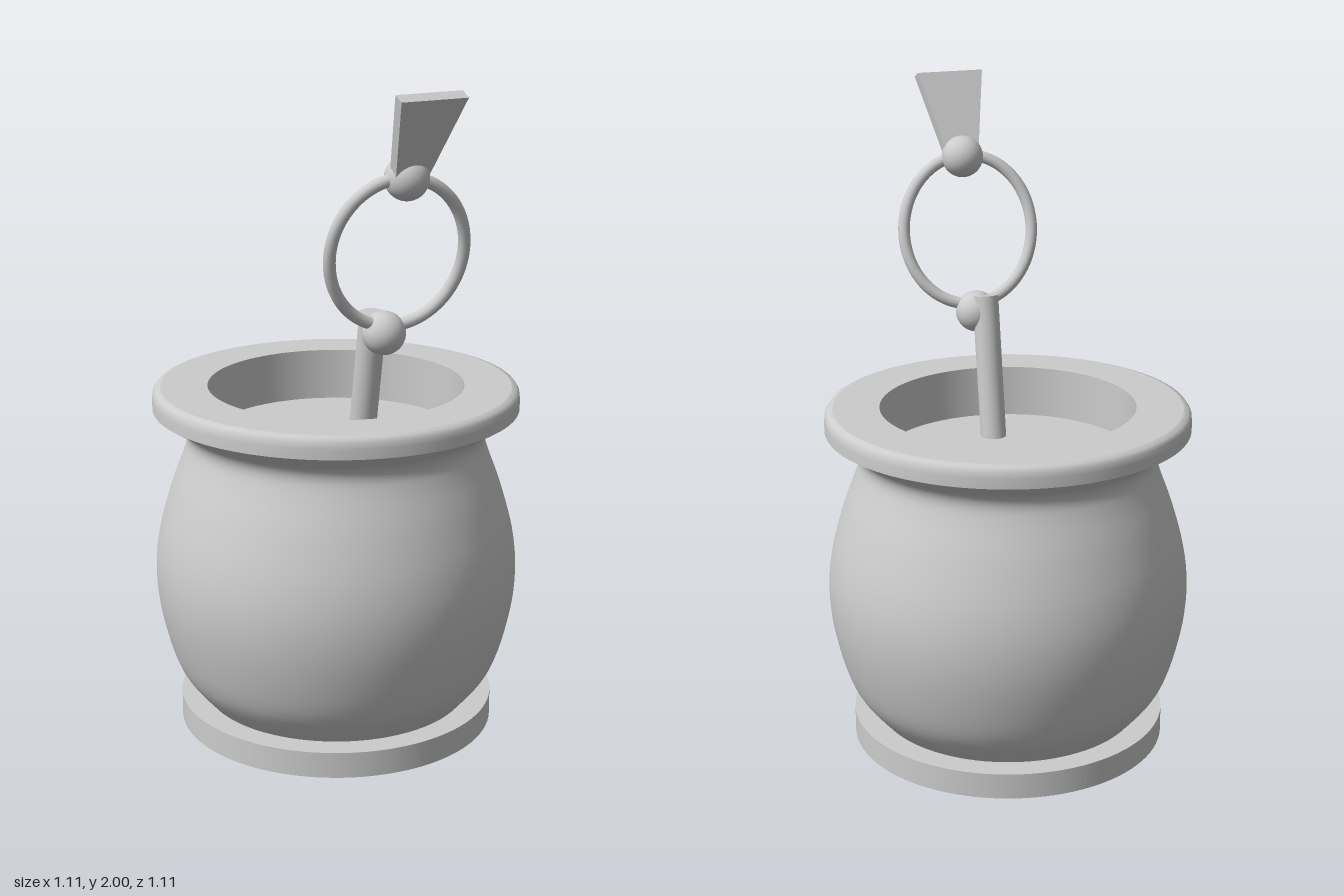
import * as THREE from 'three';

const V = (x, y, z) => new THREE.Vector3(x, y, z);

export function createModel() {
  const model = new THREE.Group();
  const grey = new THREE.MeshStandardMaterial({ color: 0xcccccc });
  grey.name = 'plain grey';

  function add(name, geometry, position) {
    const mesh = new THREE.Mesh(geometry, grey);
    mesh.name = name;
    if (position) mesh.position.copy(position);
    model.add(mesh);
    return mesh;
  }
  const lathe = (name, pts) =>
    add(name, new THREE.LatheGeometry(pts.map(([r, y]) => new THREE.Vector2(r, y)), 96));

  // Foot disc
  add('foot', new THREE.CylinderGeometry(0.485, 0.485, 0.08, 96), V(0, 0.04, 0));

  // Bulging body flaring out beneath the rim
  const side = new THREE.SplineCurve([
    [0.41, 0.08], [0.49, 0.185], [0.538, 0.34], [0.555, 0.48], [0.543, 0.61],
    [0.505, 0.75], [0.465, 0.86], [0.453, 0.91], [0.465, 0.945], [0.495, 0.968], [0.555, 1.005],
  ].map(([r, y]) => new THREE.Vector2(r, y)));
  lathe('body', side.getPoints(50).map((p) => [p.x, p.y]));

  // Rim with a rounded upper edge, flat top, and a shallow well
  lathe('rimEdge', [[0.555, 1.005], [0.555, 1.035], [0.553, 1.053], [0.545, 1.065], [0.53, 1.07]]);
  lathe('rimTop', [[0.53, 1.07], [0.388, 1.07]]);
  lathe('wellWall', [[0.388, 1.07], [0.388, 0.91]]);
  lathe('wellFloor', [[0.388, 0.91], [0, 0.91]]);

  // Leaning stem rising from the well
  const foot = V(-0.02, 0.9, 0.185), tip = V(-0.02, 1.345, 0.258);
  const axis = tip.clone().sub(foot);
  const stem = add('stem', new THREE.CylinderGeometry(0.04, 0.04, axis.length(), 32),
    foot.clone().lerp(tip, 0.5));
  stem.quaternion.setFromUnitVectors(V(0, 1, 0), axis.normalize());

  // Ball joints below and above the ring
  const lower = V(0, 1.29, 0.285), upper = V(0.003, 1.755, 0.4);
  for (const [name, at] of [['lowerBall', lower], ['upperBall', upper]])
    add(name, new THREE.SphereGeometry(0.064, 32, 24), at);

  // Tilted oval ring
  const centre = V(0.003, 1.535, 0.352), up = V(0, 0.222, 0.058), across = V(0.196, -0.015, 0.035);
  const loop = [];
  for (let i = 0; i < 24; i++) {
    const a = (i / 24) * Math.PI * 2;
    loop.push(centre.clone().addScaledVector(up, Math.cos(a)).addScaledVector(across, Math.sin(a)));
  }
  const path = new THREE.CatmullRomCurve3(loop, true);
  add('ring', new THREE.TubeGeometry(path, 96, 0.018, 16, true));

  // Flared flat tab leaning forward from the upper ball
  const length = 0.265, thick = 0.036;
  const outline = new THREE.Shape([[-0.05, 0], [0.05, 0], [0.105, length], [-0.105, length]]
    .map(([x, y]) => new THREE.Vector2(x, y)));
  const tabShape = new THREE.ExtrudeGeometry(outline, { depth: thick, bevelEnabled: false });
  tabShape.translate(0, 0, -thick / 2);
  const tab = add('tab', tabShape, V(0.003, 1.757, 0.408));
  tab.rotation.x = 0.471;

  return model;
}
